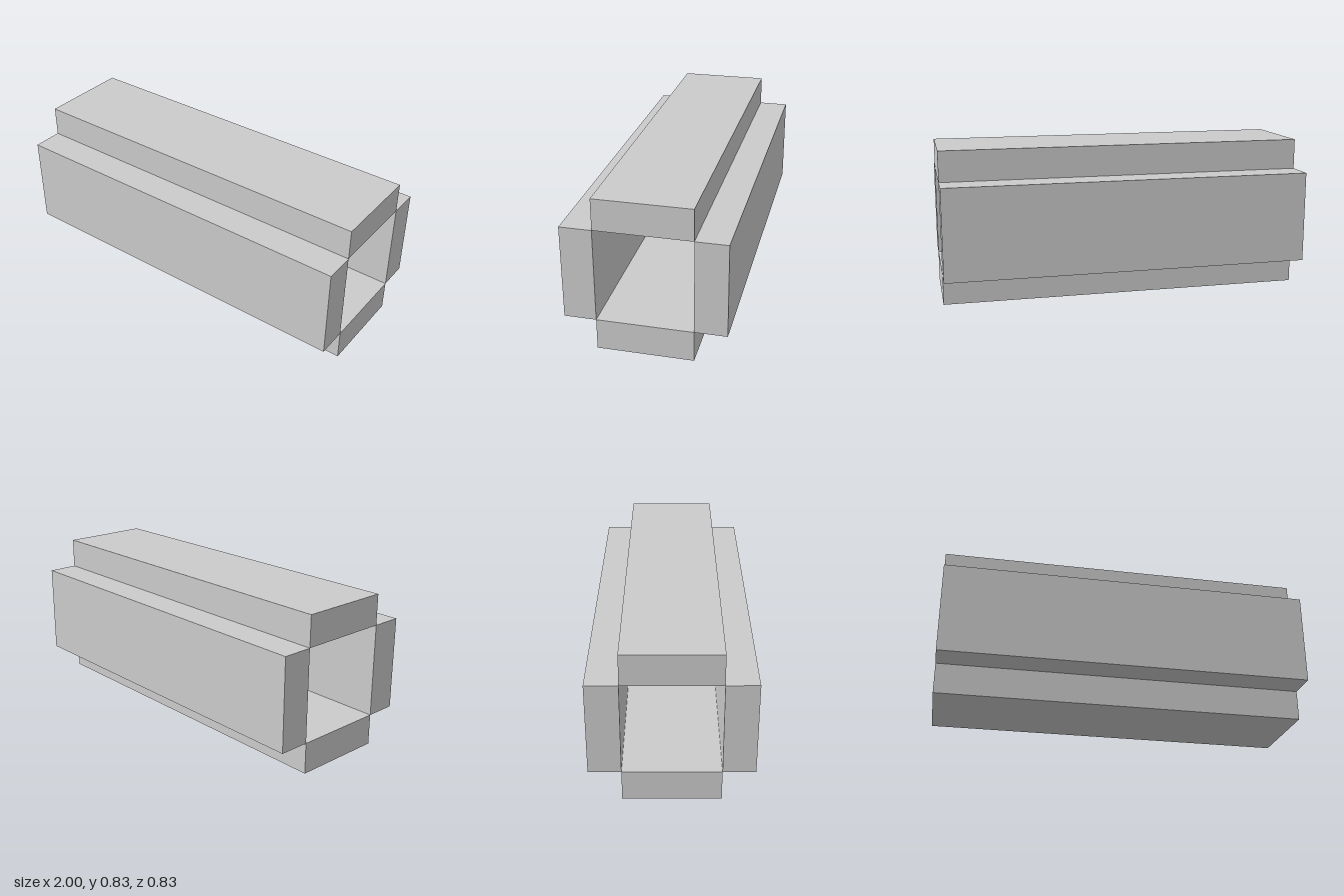
import * as THREE from 'three';

const LENGTH = 2;
const OPENING = 0.5; // side of the square channel
const THICK = 1 / 6; // wall thickness
const CENTRE_Y = OPENING / 2 + THICK;
const OFFSET = (OPENING + THICK) / 2;

export function createModel() {
  const model = new THREE.Group();
  model.name = 'openCornerChannel';
  const material = new THREE.MeshStandardMaterial({ color: 0xcccccc, flatShading: true });

  const addWall = (name, height, depth, y, z) => {
    const wall = new THREE.Mesh(new THREE.BoxGeometry(LENGTH, height, depth), material);
    wall.name = name;
    wall.position.set(0, y, z);
    model.add(wall);
  };

  // Four equal slabs meeting only along their inner edges
  addWall('bottomWall', THICK, OPENING, CENTRE_Y - OFFSET, 0);
  addWall('topWall', THICK, OPENING, CENTRE_Y + OFFSET, 0);
  addWall('frontWall', OPENING, THICK, CENTRE_Y, OFFSET);
  addWall('backWall', OPENING, THICK, CENTRE_Y, -OFFSET);

  return model;
}
